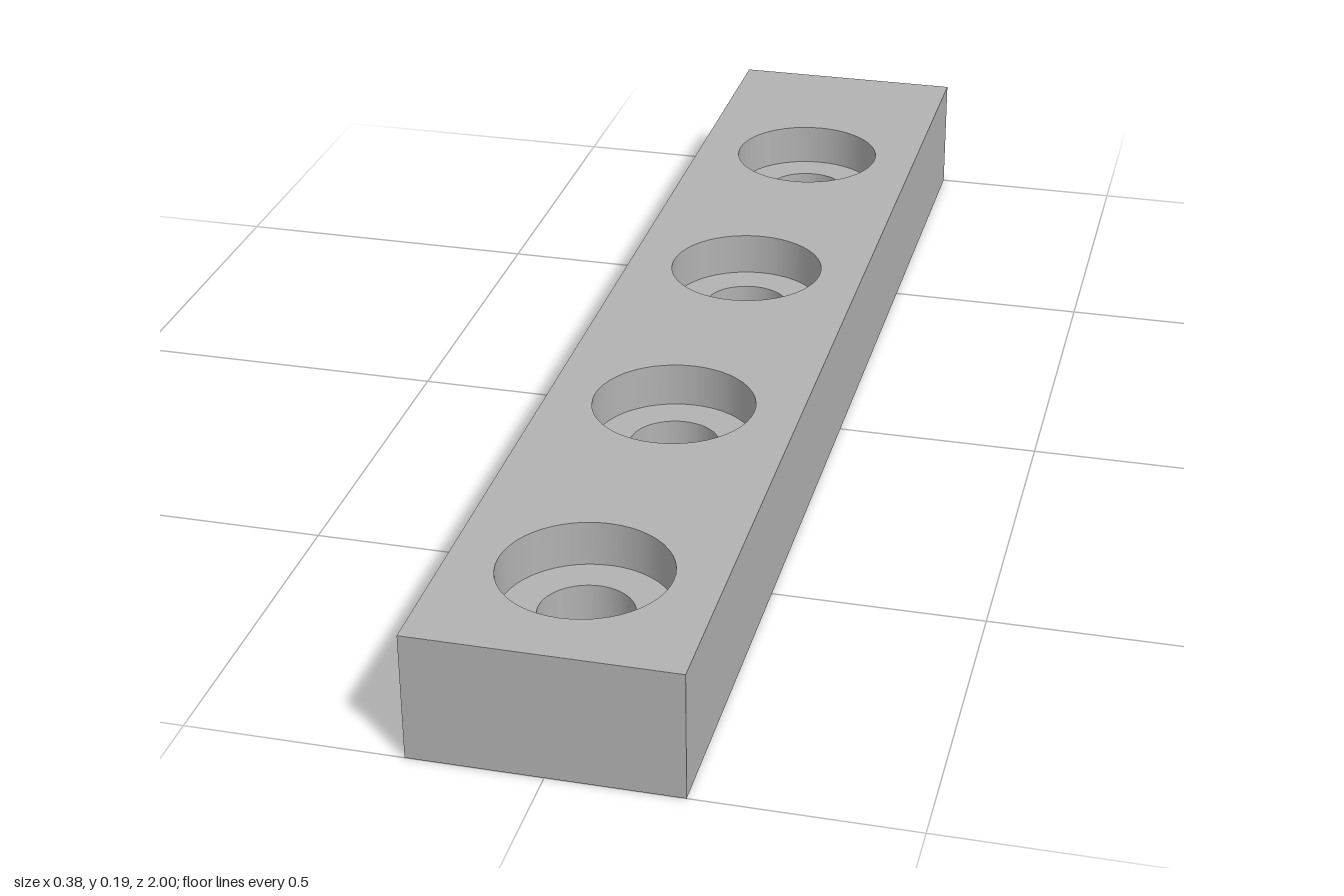
import * as THREE from 'three';
import { mergeGeometries } from 'three/addons/utils/BufferGeometryUtils.js';

const HALF_W = 0.19, HALF_L = 1, HEIGHT = 0.19;
const BORE_R = 0.067, SINK_R = 0.121, SINK_FLOOR = 0.123;
const HOLE_Z = [0, 1, 2, 3].map(i => -0.631 + i * 0.474);

// Flat bar face with a row of round openings; side is 1 for the top, -1 for the bottom
function drilledFace(radius, y, side) {
  const shape = new THREE.Shape([
    new THREE.Vector2(-HALF_W, -HALF_L), new THREE.Vector2(HALF_W, -HALF_L),
    new THREE.Vector2(HALF_W, HALF_L), new THREE.Vector2(-HALF_W, HALF_L),
  ]);
  for (const z of HOLE_Z) {
    shape.holes.push(new THREE.Path().absarc(0, -side * z, radius, 0, Math.PI * 2, true));
  }
  return new THREE.ShapeGeometry(shape, 24).rotateX(-side * Math.PI / 2).translate(0, y, 0);
}

// Four outer walls: a box without its top and bottom
function outerWalls() {
  const box = new THREE.BoxGeometry(2 * HALF_W, HEIGHT, 2 * HALF_L).translate(0, HEIGHT / 2, 0);
  const index = Array.from(box.index.array);
  index.splice(12, 12);
  box.setIndex(index);
  box.clearGroups();
  return box;
}

// Counterbored hole lining: wide wall, ledge, narrow wall, each with its own normals
function holeLining() {
  const profile = [[SINK_R, HEIGHT], [SINK_R, SINK_FLOOR], [BORE_R, SINK_FLOOR], [BORE_R, 0]]
    .map(([r, y]) => new THREE.Vector2(r, y));
  return mergeGeometries([0, 1, 2].map(i => new THREE.LatheGeometry(profile.slice(i, i + 2), 48)));
}

export function createModel() {
  const group = new THREE.Group();
  group.name = 'mountingBar';
  const grey = new THREE.MeshStandardMaterial({ color: 0xb2b2b2 });
  grey.name = 'grey';

  const add = (name, geometry) => {
    const mesh = new THREE.Mesh(geometry, grey);
    mesh.name = name;
    group.add(mesh);
    return mesh;
  };

  add('topFace', drilledFace(SINK_R, HEIGHT, 1));
  add('bottomFace', drilledFace(BORE_R, 0, -1));
  add('outerWalls', outerWalls());

  const lining = holeLining();
  HOLE_Z.forEach((z, i) => {
    add(`counterboredHole${i + 1}`, lining).position.z = z;
  });
  return group;
}
